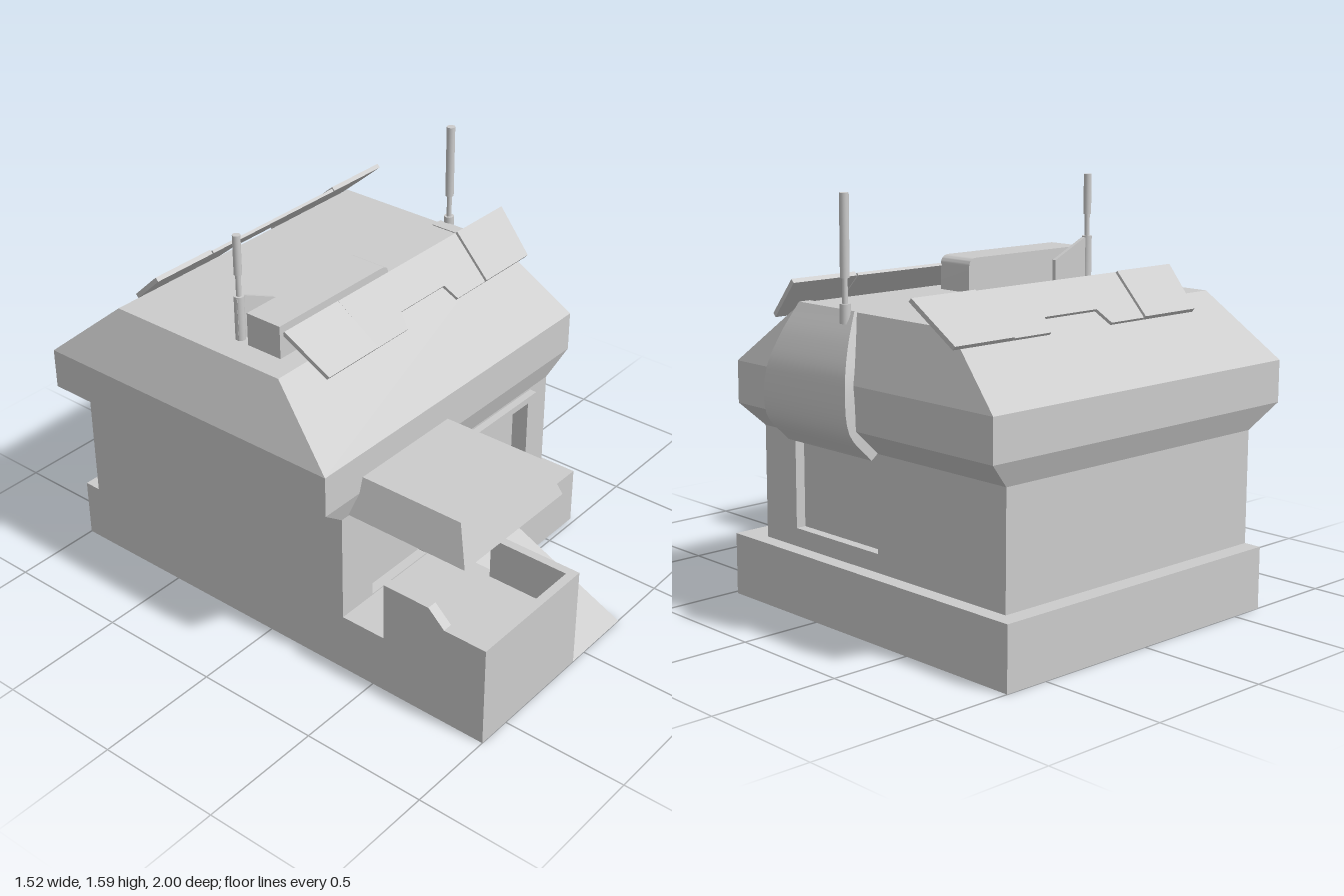
import * as THREE from 'three';
import { toCreasedNormals } from 'three/addons/utils/BufferGeometryUtils.js';

const mat = new THREE.MeshStandardMaterial({ color: 0xcccccc });
const flat = new THREE.MeshStandardMaterial({ color: 0xcccccc, flatShading: true });
const thin = new THREE.MeshStandardMaterial({ color: 0xcccccc, side: THREE.DoubleSide });

export function createModel() {
  const model = new THREE.Group();
  const add = (name, geometry, material = flat, parent = model) => {
    const mesh = new THREE.Mesh(geometry, material);
    mesh.name = name;
    parent.add(mesh);
    return mesh;
  };
  // Box given by its limits
  const box = (name, x0, x1, y0, y1, z0, z1) =>
    add(name, new THREE.BoxGeometry(x1 - x0, y1 - y0, z1 - z0))
      .position.set((x0 + x1) / 2, (y0 + y1) / 2, (z0 + z1) / 2);
  const rod = (name, r, x, y0, y1, z) =>
    add(name, new THREE.CylinderGeometry(r, r, y1 - y0, 16), mat).position.set(x, (y0 + y1) / 2, z);
  const poly = (pts) => new THREE.Shape(pts.map(([x, y]) => new THREE.Vector2(x, y)));
  const rect = (x0, x1, y0, y1) => poly([[x0, y0], [x1, y0], [x1, y1], [x0, y1]]);
  const extrude = (shape, depth) =>
    new THREE.ExtrudeGeometry(shape, { depth, bevelEnabled: false, curveSegments: 8 });
  // Solid through rectangular rings [y, x0, x1, z0, z1], bottom to top
  const loft = (levels) => {
    const rings = levels.map(([y, x0, x1, z0, z1, yIn = y]) =>
      [[x0, yIn, z1], [x1, y, z1], [x1, y, z0], [x0, yIn, z0]]);
    const pos = [];
    const quad = (a, b, c, d) => pos.push(...a, ...b, ...c, ...a, ...c, ...d);
    for (let i = 0; i < rings.length - 1; i++)
      for (let j = 0; j < 4; j++) {
        const k = (j + 1) % 4;
        quad(rings[i][j], rings[i][k], rings[i + 1][k], rings[i + 1][j]);
      }
    quad(...rings[0].slice().reverse());
    quad(...rings[rings.length - 1]);
    const g = new THREE.BufferGeometry();
    g.setAttribute('position', new THREE.Float32BufferAttribute(pos, 3));
    g.computeVertexNormals();
    return g;
  };
  // Thin upright or sloped quad
  const sheet = (name, a, b, c, d) => {
    const g = new THREE.BufferGeometry();
    g.setAttribute('position', new THREE.Float32BufferAttribute([...a, ...b, ...c, ...a, ...c, ...d], 3));
    g.computeVertexNormals();
    add(name, g, thin);
  };
  const skirt = (x0, z0, x1, z1) =>
    sheet('plinthSide', [x0, 0, z0], [x1, 0, z1], [x1, 0.24, z1], [x0, 0.24, z0]);

  // Plinth: open underneath, one floor for house and porch
  const floor = new THREE.ShapeGeometry(poly([
    [-0.64, 1], [-0.64, -0.48], [-0.64, -1], [-0.07, -1], [-0.07, -0.48], [0.68, -0.48], [0.68, 1]]));
  floor.rotateX(-Math.PI / 2).translate(0, 0.24, 0);
  add('floor', floor, thin);
  skirt(0.68, -1, -0.64, -1);
  skirt(0.68, 0.48, 0.68, -1);
  skirt(0.24, 0.48, 0.68, 0.48);
  skirt(-0.64, -1, -0.64, 1);
  skirt(-0.64, 1, -0.07, 1);
  skirt(-0.07, 1, -0.07, 0.48);

  // Ramp with its open side closed
  sheet('ramp', [-0.07, 0, 1], [0.24, 0, 1], [0.24, 0.24, 0.48], [-0.07, 0.24, 0.48]);
  sheet('rampSide', [0.24, 0, 1], [0.24, 0, 0.48], [0.24, 0.24, 0.48], [0.24, 0.24, 0.48]);

  // Porch parapets
  box('porchFrontWall', -0.6, -0.07, 0.24, 0.415, 0.965, 1);
  box('porchInnerWall', -0.105, -0.07, 0.24, 0.415, 0.63, 0.965);
  const side = extrude(poly([
    [-1, 0.24], [-0.55, 0.24], [-0.55, 0.48], [-0.75, 0.48], [-0.82, 0.415], [-1, 0.415]]), 0.04);
  add('porchOuterWall', side.rotateY(Math.PI / 2).translate(-0.64, 0, 0));

  // House body with recessed door and windows
  box('houseCore', -0.64, 0.58, 0.24, 0.69, -0.93, 0.32);
  const front = rect(-0.64, 0.62, 0.24, 0.69);
  front.holes.push(rect(-0.47, -0.145, 0.245, 0.66), rect(0.17, 0.455, 0.395, 0.64));
  add('frontWall', extrude(front, 0.04).translate(0, 0, 0.32));
  const right = rect(-0.32, 0.93, 0.24, 0.69);
  right.holes.push(rect(-0.18, 0.285, 0.31, 0.665));
  add('sideWall', extrude(right, 0.04).rotateY(Math.PI / 2).translate(0.58, 0, 0));
  const frame = rect(0.12, 0.51, 0.345, 0.667);
  frame.holes.push(rect(0.17, 0.455, 0.395, 0.64));
  add('windowFrame', extrude(frame, 0.03).translate(0, 0, 0.36));

  // Hipped roof with flared underside
  add('roof', loft([
    [0.675, -0.64, 0.62, -0.93, 0.36],
    [0.77, -0.76, 0.72, -0.97, 0.39],
    [0.93, -0.76, 0.72, -0.97, 0.39],
    [1.17, -0.665, 0.645, -0.69, 0.1]]));

  // Door canopy
  add('canopy', loft([
    [0.68, -0.605, -0.02, 0.36, 0.875],
    [0.83, -0.56, -0.07, 0.36, 0.82]]));

  // Curved cowl over the side window
  const v = (x, y, z) => new THREE.Vector3(x, y, z);
  const outer = new THREE.CatmullRomCurve3([
    v(0.65, 0.655, 0.18), v(0.75, 0.765, 0.18), v(0.757, 0.93, 0.168),
    v(0.715, 1.06, 0.135), v(0.655, 1.175, 0.1)]);
  const rows = outer.getPoints(20).map((p, i) =>
    [p.y, p.x - 0.05, p.x, -0.11 - p.z, p.z, p.y + 0.04 * Math.max(0, 1 - i / 6)]);
  add('sideCowl', toCreasedNormals(loft(rows), 0.6), mat);

  // Roof panels, one row on each slope
  const panels = [
    ['panelWing', [[-0.495, 0], [-0.225, 0], [-0.252, 0.22], [-0.542, 0.22]], 0.018],
    ['panelMiddle', [[-0.22, 0], [-0.05, 0], [-0.025, 0.068], [0.235, 0.068], [0.255, 0],
      [0.428, 0], [0.452, 0.22], [-0.246, 0.22]], 0.012],
    ['panelWing', [[0.433, 0], [0.705, 0], [0.748, 0.22], [0.458, 0.22]], 0.018]];
  for (const s of [1, -1]) {
    const row = new THREE.Group();
    row.name = s > 0 ? 'frontPanels' : 'backPanels';
    for (const [name, pts, depth] of panels) {
      const g = extrude(poly(pts), depth).rotateX(-0.85).translate(0, 1.115, 0.175);
      add(name, g, flat, row);
    }
    row.scale.z = s;
    row.position.z = s > 0 ? 0 : -0.59;
    model.add(row);
  }

  // Roof box with one rounded end
  const unit = rect(-0.56, 0.04, 1.16, 1.3);
  unit.curves.length = 0;
  unit.moveTo(-0.56, 1.16).lineTo(0.04, 1.16).lineTo(0.04, 1.265)
    .quadraticCurveTo(0.04, 1.3, 0, 1.3).lineTo(-0.56, 1.3).lineTo(-0.56, 1.16);
  add('roofUnit', toCreasedNormals(extrude(unit, 0.155).translate(0, 0, -0.138), 0.6), mat);

  // Aerials and the fin holding the short one
  add('aerialFin', extrude(poly([
    [-0.56, 1.16], [-0.36, 1.16], [-0.36, 1.265], [-0.52, 1.34], [-0.56, 1.34]]), 0.016).translate(0, 0, -0.198));
  rod('aerialBase', 0.019, -0.542, 1.16, 1.345, -0.19);
  rod('aerialStem', 0.01, -0.542, 1.34, 1.44, -0.19);
  rod('aerialTip', 0.015, -0.542, 1.43, 1.585, -0.19);
  rod('aerialBase', 0.02, 0.67, 1.13, 1.2, -0.178);
  rod('aerialStem', 0.01, 0.67, 1.15, 1.3, -0.178);
  rod('aerialTip', 0.017, 0.67, 1.29, 1.585, -0.178);

  return model;
}
